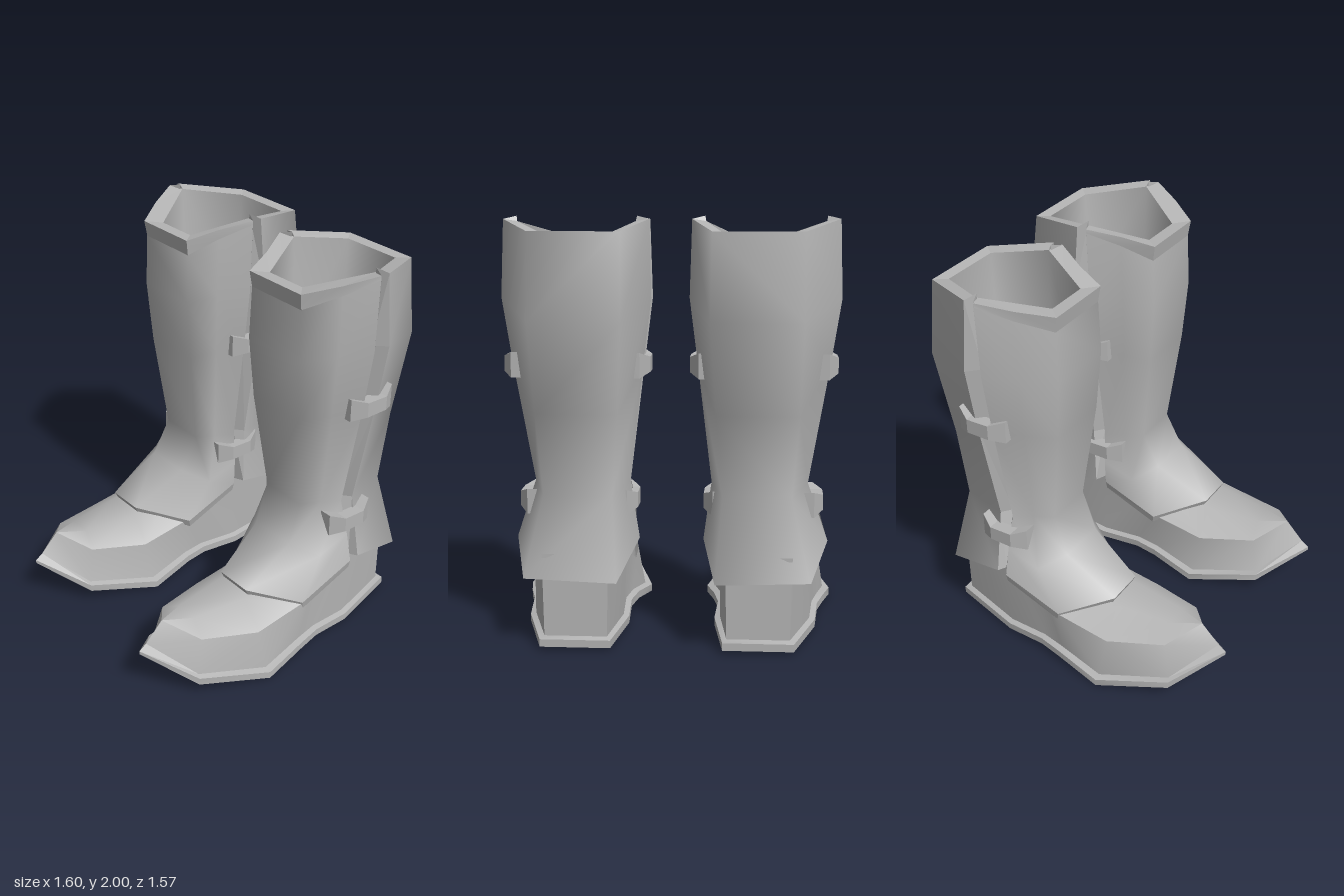
import * as THREE from 'three';
import { toCreasedNormals } from 'three/addons/utils/BufferGeometryUtils.js';

const leather = new THREE.MeshStandardMaterial({ color: 0xb4b4b4, side: THREE.DoubleSide });
leather.name = 'grey leather';

// Skin rows of [x, y, z] points; crease is the smoothing limit (0 = flat, null = smooth)
function loft(name, rows, side, { closed = false, crease = null } = {}) {
  const n = rows[0].length, index = [];
  for (let i = 0; i < rows.length - 1; i++) {
    for (let j = 0; j < (closed ? n : n - 1); j++) {
      const a = i * n + j, b = i * n + (j + 1) % n, c = a + n, d = b + n;
      index.push(...(side > 0 ? [a, c, b, b, c, d] : [a, b, c, b, d, c]));
    }
  }
  let g = new THREE.BufferGeometry();
  const pos = rows.flat().flatMap(([x, y, z]) => [x * side, y, z]);
  g.setAttribute('position', new THREE.Float32BufferAttribute(pos, 3));
  g.setIndex(index);
  if (crease === 0) g = g.toNonIndexed();
  g.computeVertexNormals();
  if (crease) g = toCreasedNormals(g, crease);
  const mesh = new THREE.Mesh(g, leather);
  mesh.name = name;
  return mesh;
}

// Mirror a half profile [halfWidth, y, z, centre shift] about x = c, running from -x to +x
const across = (c, half) => [
  ...half.map(([w, y, z, d = 0]) => [c + d - w, y, z]),
  ...half.slice().reverse().map(([w, y, z, d = 0]) => [c + d + w, y, z]),
];
// Shrink a row towards a centre in plan and shift it vertically
const inset = (row, c, zc, k, dy) => row.map(([x, y, z]) => [c + (x - c) * k, y + dy, zc + (z - zc) * k]);
const mid = (a, b) => a.map((v, i) => (v + b[i]) / 2);

// Front panel: centre x, seam, optional side point, front corner
const FRONT = [
  { c: 0.445, seam: [0.345, 1.985, -0.365], front: [0.178, 1.91, -0.06, -0.025] },
  { c: 0.445, seam: [0.346, 1.965, -0.363], front: [0.172, 1.83, -0.072, -0.025] },
  { c: 0.445, seam: [0.355, 1.62, -0.345], front: [0.178, 1.57, -0.064, -0.025] },
  { c: 0.44, seam: [0.31, 1.3, -0.345], front: [0.165, 1.25, -0.09, -0.02] },
  { c: 0.425, seam: [0.225, 0.74, -0.34], front: [0.125, 0.74, -0.155] },
  { c: 0.445, seam: [0.27, 0.58, -0.33], side: [0.25, 0.5, -0.17], front: [0.125, 0.55, -0.07] },
  { c: 0.465, seam: [0.29, 0.44, -0.325], side: [0.268, 0.3, -0.03], front: [0.098, 0.39, 0.205, 0.008] },
];
// Back panel: centre x, seam, back corner
const BACK = [
  { c: 0.445, seam: [0.345, 1.985, -0.415], back: [0.208, 1.93, -0.735, -0.032] },
  { c: 0.445, seam: [0.355, 1.62, -0.44], back: [0.21, 1.53, -0.785, -0.035] },
  { c: 0.44, seam: [0.31, 1.3, -0.435], back: [0.19, 1.1, -0.695, -0.025] },
  { c: 0.425, seam: [0.23, 0.74, -0.41], back: [0.16, 0.72, -0.67, -0.01] },
  { c: 0.455, seam: [0.3, 0.45, -0.375], back: [0.22, 0.335, -0.785, -0.01] },
];
const frontRows = FRONT.map(({ c, seam, side, front }) => across(c, [seam, side || mid(seam, front), front]));
const backRows = BACK.map(({ c, seam, back }) => across(c, [seam, back]).reverse());
backRows[4][1][2] = -0.73; // the flare sweeps forward on its outer corner

// Foot stations, heel to tip: centre x, sole half width, z, bottom y, ridge half width, z, y
const FOOT_X = 0.475;
const FOOT = [
  [0.425, 0.165, -0.75, 0.015, 0.155, -0.715, 0.45],
  [0.455, 0.245, -0.37, 0.015, 0.22, -0.37, 0.48],
  [0.47, 0.25, -0.15, 0.03, 0.225, -0.15, 0.38],
  [FOOT_X, 0.28, -0.02, 0.035, 0.25, -0.04, 0.29],
  [FOOT_X, 0.325, 0.23, 0, 0.25, 0.25, 0.247],
  [FOOT_X, 0.21, 0.58, 0.065, 0.16, 0.53, 0.285],
  [FOOT_X, 0, 0.785, 0.22, 0, 0.65, 0.36],
];
const footLoop = f => {
  const half = FOOT.map(([c, ...v]) => [c, ...f(v)]);
  return [...half.map(([c, w, y, z]) => [c - w, y, z]),
    ...half.slice(0, -1).reverse().map(([c, w, y, z]) => [c + w, y, z])];
};

function makeFoot(side) {
  const foot = new THREE.Group();
  foot.name = 'foot';
  const baseZ = z => (z < -0.7 ? -0.718 : z > 0.7 ? 0.745 : z > 0.5 ? z - 0.01 : z);
  const base = footLoop(([w, z, y]) => [w * 0.89, y + 0.045, baseZ(z)]);
  const topEdge = footLoop(([w, z, y]) => [w, y + (z > 0.7 ? 0.018 : 0.036), z]);
  const lowEdge = footLoop(([w, z, y]) => [w, y, z]);
  foot.add(loft('footWall', [footLoop(([, , , w, z, y]) => [w, y, z]), base], side, { closed: true, crease: 0.7 }));
  foot.add(loft('soleEdge', [base, topEdge, lowEdge], side, { closed: true, crease: 0.5 }));
  // Tread underside
  const tread = FOOT.slice().reverse().map(([c, w, z, y]) => [[c - w, y, z], [c + w, y, z]]);
  foot.add(loft('soleTread', tread, side, { crease: 0.5 }));
  // Domed top of the toe
  const vamp = [
    [[0.25, 0.29, -0.04], [0.1, 0.4, -0.02]],
    [[0.25, 0.247, 0.25], [0.1, 0.35, 0.22]],
    [[0.16, 0.285, 0.53], [0.06, 0.34, 0.5]],
    [[0, 0.36, 0.65], [0, 0.36, 0.65]],
  ].map(h => across(FOOT_X, h));
  foot.add(loft('toeTop', vamp, side));
  return foot;
}

function makeShaft(side) {
  const shaft = new THREE.Group();
  shaft.name = 'shaft';
  shaft.add(loft('frontCollar', frontRows.slice(0, 2), side, { crease: 0.8 }));
  shaft.add(loft('frontPanel', frontRows.slice(1), side), loft('backPanel', backRows, side));
  // Thickness under the panels
  const fEnd = frontRows[frontRows.length - 1], bEnd = backRows[backRows.length - 1];
  shaft.add(loft('frontPanelHem', [fEnd, inset(fEnd, FOOT_X, -0.32, 0.96, -0.045)], side, { crease: 0 }));
  shaft.add(loft('backPanelHem', [bEnd, inset(bEnd, 0.45, -0.37, 0.8, -0.015)], side, { crease: 0 }));

  // Side seams: a groove between the two panels
  const notch = [[0.285, 2, -0.39], [0.295, 1.62, -0.38], [0.255, 1.3, -0.38], [0.18, 0.74, -0.37], [0.24, 0.44, -0.36]];
  const fSeam = [0, 2, 3, 4, 6].map(i => FRONT[i]);
  for (const s of [1, -1]) {
    const rows = notch.map(([w, y, z], i) => {
      const f = fSeam[i], b = BACK[i];
      const r = [[f.c + s * f.seam[0], f.seam[1], f.seam[2]], [f.c + s * w, y, z],
        [b.c + s * b.seam[0], b.seam[1], b.seam[2]]];
      return s > 0 ? r : r.reverse();
    });
    shaft.add(loft('seamGroove', rows, side, { crease: 0 }));
  }

  // Flat rim, from the hollow's hexagon out to the panel tops
  const c = 0.445, N = [[c + 0.285, 2, -0.39], [c - 0.285, 2, -0.39]];
  const outer = [...frontRows[0], N[0], ...backRows[0], N[1]];
  const lip = [[0.165, 1.975, -0.4], [0.305, 1.905, -0.13], [0.53, 1.905, -0.13],
    [0.725, 1.975, -0.4], [0.57, 1.925, -0.68], [0.25, 1.925, -0.68]];
  const [L, f1, f2, R, b2, b1] = lip;
  const lipRing = [L, mid(L, f1), f1, f2, mid(f2, R), R, R, R, b2, b1, L, L];
  shaft.add(loft('rim', [lipRing, outer], side, { closed: true, crease: 0 }));

  // Hollow lining, narrowing down to the ankle
  const hollow = (k, y) => lip.map(([x, , z]) => [0.43 + (x - 0.43) * k, y, -0.4 + (z + 0.4) * k]);
  shaft.add(loft('lining', [hollow(0, 0.72), hollow(0.6, 0.76), hollow(0.9, 1.4), lip], side, { closed: true }));
  return shaft;
}

// Short flared strap wrapped around a seam
function makeStrap(side, s, x, y, z) {
  const stations = [[-0.13, -0.045, 0.058], [-0.06, 0, 0.038], [0.06, 0, 0.036], [0.135, -0.045, 0.06]];
  const rows = stations.map(([dz, dx, h]) => {
    const xi = x + s * (dx - 0.03), xo = x + s * (dx + 0.035);
    const r = [[xi, y - h, z - dz], [xo, y - h, z - dz], [xo, y + h, z - dz], [xi, y + h, z - dz]];
    return s > 0 ? r.reverse() : r;
  });
  const cap = r => r.map(() => r.reduce((a, p) => a.map((v, k) => v + p[k] / 4), [0, 0, 0]));
  return loft('strap', [cap(rows[0]), ...rows, cap(rows[3])], side, { closed: true, crease: 0 });
}

export function createModel() {
  const model = new THREE.Group();
  model.name = 'boots';
  for (const side of [1, -1]) {
    const boot = new THREE.Group();
    boot.name = side > 0 ? 'leftBoot' : 'rightBoot';
    boot.add(makeFoot(side), makeShaft(side));
    for (const s of [1, -1]) {
      boot.add(makeStrap(side, s, 0.44 + s * 0.312, 1.31, -0.405));
      boot.add(makeStrap(side, s, 0.443 + s * 0.25, 0.65, -0.365));
    }
    model.add(boot);
  }
  return model;
}
